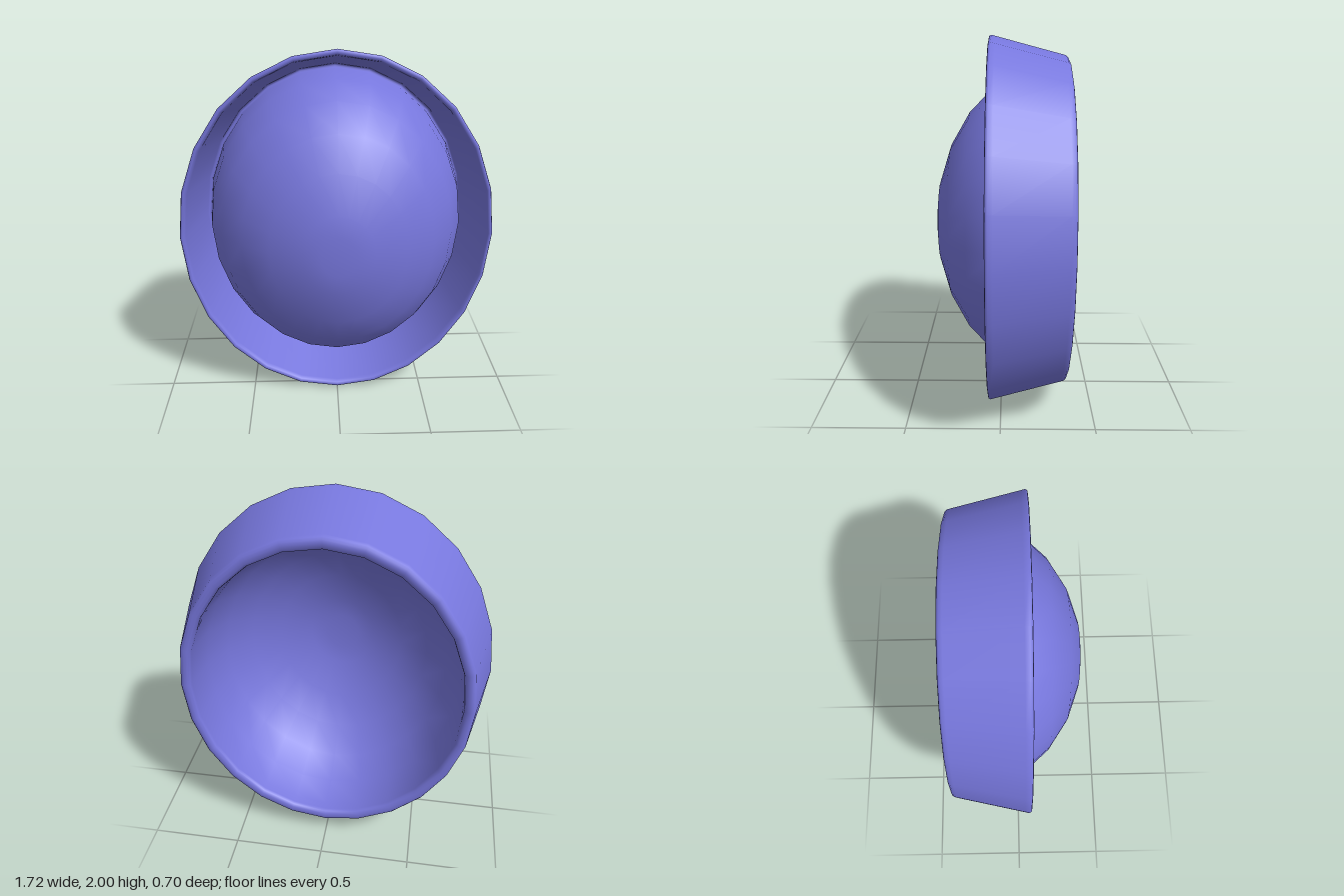
import * as THREE from 'three';

const SEGMENTS = 24;
const WIDTH_RATIO = 0.862; // the whole dish is a slightly narrow oval
const DOME_RADIUS = 0.852;

// Spin an [radius, z] profile about the z axis and squeeze it to an oval
function ovalLathe(profile, material, name) {
  const points = profile.map(([r, z]) => new THREE.Vector2(r, z));
  const geometry = new THREE.LatheGeometry(points, SEGMENTS);
  geometry.rotateX(Math.PI / 2);
  geometry.scale(WIDTH_RATIO, 1, 1);
  const mesh = new THREE.Mesh(geometry, material);
  mesh.name = name;
  mesh.position.y = 1;
  return mesh;
}

// Dome cross-section from rim to pole, shrunk inwards by an inset
function domeProfile(inset) {
  const points = [];
  for (let i = 6; i >= 1; i--) {
    const a = (i / 12) * Math.PI;
    points.push([(DOME_RADIUS - inset) * Math.sin(a), -0.285 + (0.642 - inset) * Math.cos(a)]);
  }
  // softly flattened pole
  points.push([0.11, 0.348 - inset], [0.03, 0.35 - inset], [0, 0.35 - inset]);
  return points;
}

export function createModel() {
  const group = new THREE.Group();
  group.name = 'domedOvalDish';

  const violet = new THREE.MeshStandardMaterial({ color: 0x7777dd, side: THREE.DoubleSide });
  violet.name = 'violet';

  // One continuous shell: hollow inside, back rim, flared wall, front rim, groove, dome
  const shell = [
    ...domeProfile(0.022).reverse(),
    // rounded back rim
    [0.831, -0.322], [0.836, -0.338], [0.85, -0.348], [0.87, -0.35],
    [0.886, -0.347], [0.896, -0.337], [0.901, -0.32],
    // flared wall and rounded front rim
    [0.993, 0.03], [0.999, 0.052], [0.994, 0.063], [0.983, 0.066],
    [0.972, 0.06], [0.964, 0.038],
    // inside of the wall down to the groove
    [0.878, -0.295], [0.871, -0.312], [0.86, -0.318], [0.853, -0.309],
    ...domeProfile(0),
  ];
  group.add(ovalLathe(shell, violet, 'domedShell'));

  return group;
}
